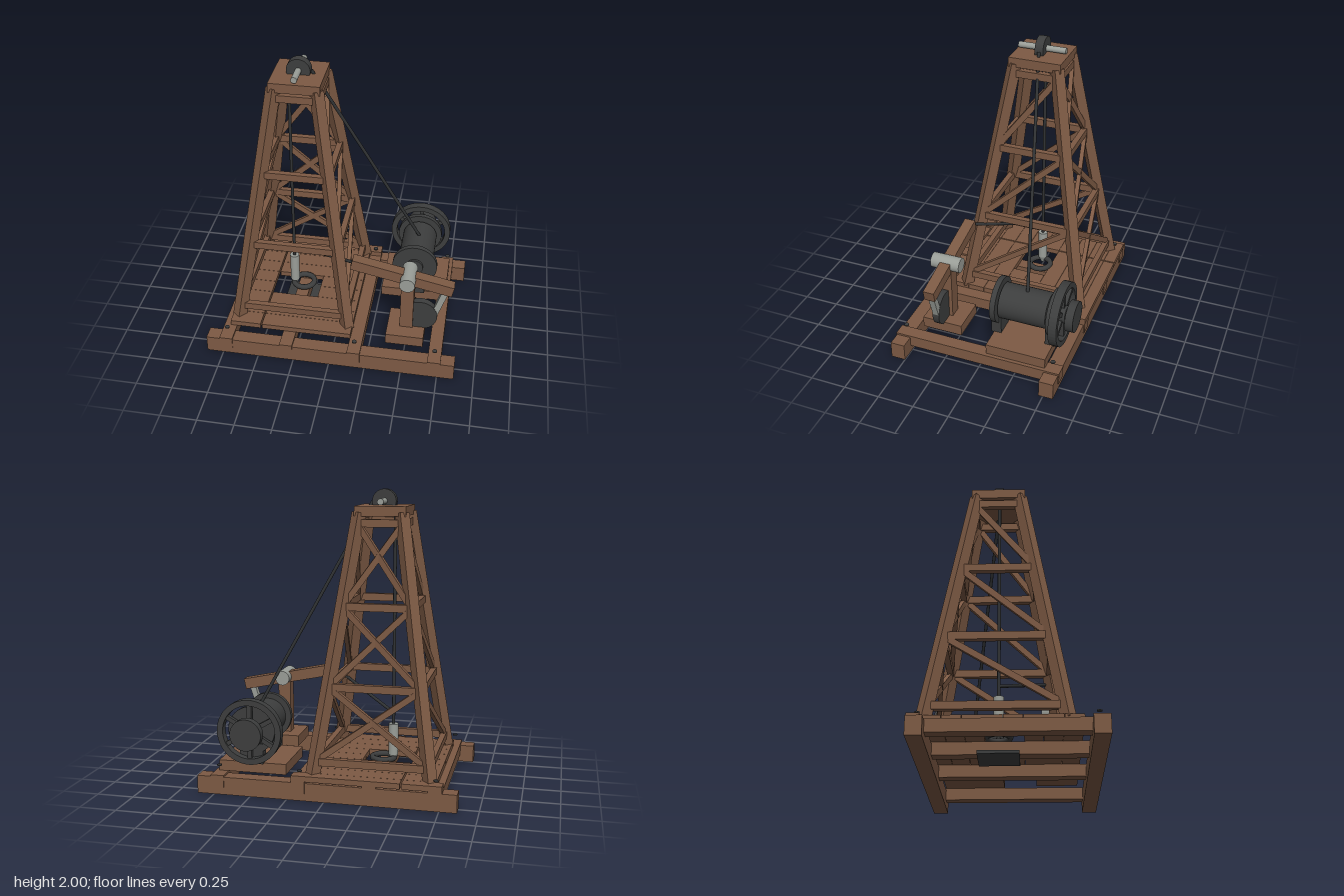
import * as THREE from 'three';

const mat = (name, color) => Object.assign(new THREE.MeshStandardMaterial({ color }), { name });

export function createModel() {
  const root = new THREE.Group();
  root.name = 'cableToolDrillingRig';
  const wood = mat('timber', 0x7d5a44);
  const iron = mat('dark iron', 0x3d3e3e);
  const rope = mat('cable', 0x303233);
  const steel = mat('light steel', 0x9a9e98);

  const V = (x, y, z) => new THREE.Vector3(x, y, z);
  const add = (name, geo, m, parent = root) => {
    const mesh = new THREE.Mesh(geo, m);
    mesh.name = name;
    parent.add(mesh);
    return mesh;
  };
  const group = (name) => {
    const g = new THREE.Group();
    g.name = name;
    root.add(g);
    return g;
  };
  // Box given by its lower and upper limits on each axis
  const box = (name, [x0, x1], [y0, y1], [z0, z1], m = wood, parent = root) => {
    const b = add(name, new THREE.BoxGeometry(x1 - x0, y1 - y0, z1 - z0), m, parent);
    b.position.set((x0 + x1) / 2, (y0 + y1) / 2, (z0 + z1) / 2);
    return b;
  };
  // Square timber between two points
  const beam = (name, a, b, w, h, m = wood, parent = root) => {
    const s = add(name, new THREE.BoxGeometry(w, h, a.distanceTo(b)), m, parent);
    s.position.copy(a).add(b).multiplyScalar(0.5);
    s.lookAt(b);
    return s;
  };
  // Round bar between two points
  const rod = (name, a, b, r, m, parent = root, sides = 32) => {
    const c = add(name, new THREE.CylinderGeometry(r, r, a.distanceTo(b), sides), m, parent);
    c.position.copy(a).add(b).multiplyScalar(0.5);
    c.quaternion.setFromUnitVectors(V(0, 1, 0), b.clone().sub(a).normalize());
    return c;
  };

  // Base: skids, cross beams and bolts
  const base = group('base');
  for (const z of [[0.5, 0.6], [-0.57, -0.47]]) box('skid', [-0.865, 0.865], [0, 0.12], z, wood, base);
  for (const x of [-0.725, -0.3, 0.172, 0.725]) {
    box('crossBeam', [x - 0.045, x + 0.045], [0.05, 0.133], [-0.577, 0.605], wood, base);
    if (x === -0.3) continue;
    for (const z of [0.545, -0.52])
      rod('bolt', V(x, 0.183, z), V(x, 0.191, z), 0.016, iron, base, 16);
  }

  // Plank floor with a well opening in the middle
  const floor = group('floor');
  const deckY = [0.133, 0.17];
  box('backPlank', [-0.77, -0.51], deckY, [-0.58, -0.5], wood, floor);
  box('backPlank', [-0.5, 0.217], deckY, [-0.58, -0.5], wood, floor);
  for (let i = 0; i < 8; i++) {
    const z = [-0.498 + i * 0.12, -0.38 + i * 0.12];
    box('plank', [-0.725, -0.51], deckY, z, wood, floor);
    if (i === 3 || i === 4) box('plank', [-0.17, 0.13], deckY, z, wood, floor);
    else box('plank', [-0.5, 0.13], deckY, z, wood, floor);
  }

  // Tower: four leaning legs, girts and braces
  const tower = group('tower');
  const cx = -0.295, cz = -0.062;
  const corner = (sx, sz, y) => {
    const t = (y - 0.17) / 1.66;
    return V(cx + sx * (0.385 - 0.242 * t), y, cz + sz * (0.425 - 0.275 * t));
  };
  for (const sx of [-1, 1]) for (const sz of [-1, 1])
    beam('towerLeg', corner(sx, sz, 0.15), corner(sx, sz, 1.85), 0.07, 0.07, wood, tower);
  const levels = [0.245, 0.73, 1.25, 1.785];
  levels.forEach((y, i) => {
    for (const s of [-1, 1]) {
      beam('girt', corner(-1, s, y), corner(1, s, y), 0.04, 0.05, wood, tower);
      beam('girt', corner(s, -1, y), corner(s, 1, y), 0.04, 0.05, wood, tower);
      if (i === 3) continue;
      const top = levels[i + 1];
      beam('sideBrace', corner(s, 1, y), corner(s, -1, top), 0.03, 0.04, wood, tower);
      beam('backBrace', corner(-s, -1, y), corner(s, -1, top), 0.03, 0.04, wood, tower);
    }
  });
  box('towerCap', [-0.466, -0.126], [1.83, 1.895], [-0.242, 0.12], wood, tower);

  // Crown pulley
  const sx = -0.296, sy = 1.922;
  rod('crownAxle', V(sx, sy, -0.224), V(sx, sy, 0.107), 0.021, steel);
  rod('crownPulley', V(sx, sy, -0.088), V(sx, sy, -0.03), 0.08, iron);

  // Well head and drilling string
  box('cellarPlate', [-0.43, -0.17], [0.03, 0.05], [-0.187, 0.073], iron);
  const ring = add('wellRing', new THREE.TorusGeometry(0.075, 0.02, 8, 32), iron);
  ring.rotation.x = Math.PI / 2;
  ring.position.set(-0.3, 0.175, -0.06);
  rod('drillTool', V(-0.367, 0.2, -0.056), V(-0.367, 0.415, -0.056), 0.033, steel);
  const bit = add('drillBit', new THREE.CylinderGeometry(0.033, 0.012, 0.05, 24), steel);
  bit.position.set(-0.367, 0.175, -0.056);
  rod('drillCable', V(-0.367, 0.41, -0.056), V(-0.367, 1.92, -0.056), 0.011, rope, root, 12);
  rod('hoistCable', V(-0.215, 1.92, -0.06), V(0.52, 0.545, -0.265), 0.011, rope, root, 12);
  rod('beamCable', V(0.12, 0.695, 0.315), V(-0.367, 0.49, -0.056), 0.011, rope, root, 12);

  // Walking beam, post, crank and connecting rod
  box('postBase', [0.375, 0.635], [0.133, 0.21], [0.175, 0.46]);
  box('post', [0.46, 0.55], [0.205, 0.64], [0.275, 0.36]);
  const walking = add('walkingBeam', new THREE.BoxGeometry(0.71, 0.077, 0.077), wood);
  walking.position.set(0.463, 0.625, 0.316);
  walking.rotation.z = -0.208;
  rod('pivot', V(0.505, 0.623, 0.217), V(0.505, 0.623, 0.423), 0.052, steel);
  rod('crankDisc', V(0.598, 0.315, 0.3), V(0.598, 0.315, 0.346), 0.118, iron);
  beam('connectingRod', V(0.765, 0.55, 0.322), V(0.695, 0.335, 0.322), 0.042, 0.042, steel);

  // Winch: drum, flanges, wheel and belt pulley share one axis along z
  box('winchBase', [0.28, 0.745], [0.133, 0.205], [-0.47, -0.052]);
  const winch = group('winch');
  const wx = 0.513, wy = 0.427;
  const turn = (name, r, z0, z1, m = iron) => rod(name, V(wx, wy, z0), V(wx, wy, z1), r, m, winch, 40);
  turn('shaft', 0.026, -0.56, -0.04, steel);
  turn('hub', 0.06, -0.54, -0.033);
  turn('drum', 0.124, -0.427, -0.095);
  turn('frontFlange', 0.16, -0.087, -0.05);
  turn('backFlange', 0.16, -0.477, -0.443);
  turn('beltPulley', 0.106, -0.61, -0.555);
  for (const z of [-0.068, -0.45])
    box('bearingStand', [wx - 0.08, wx + 0.08], [0.2, 0.34], [z - 0.035, z + 0.035], iron, winch);
  const rim = new THREE.Shape().absarc(0, 0, 0.219, 0, Math.PI * 2);
  rim.holes.push(new THREE.Path().absarc(0, 0, 0.18, 0, Math.PI * 2, true));
  const wheel = add('wheelRim',
    new THREE.ExtrudeGeometry(rim, { depth: 0.058, bevelEnabled: false, curveSegments: 24 }), iron, winch);
  wheel.position.set(wx, wy, -0.537);
  for (let i = 0; i < 6; i++) {
    const a = (i * Math.PI) / 3 + Math.PI / 6;
    beam('wheelSpoke', V(wx, wy, -0.508),
      V(wx + 0.19 * Math.cos(a), wy + 0.19 * Math.sin(a), -0.508), 0.03, 0.03, iron, winch);
  }
  return root;
}
